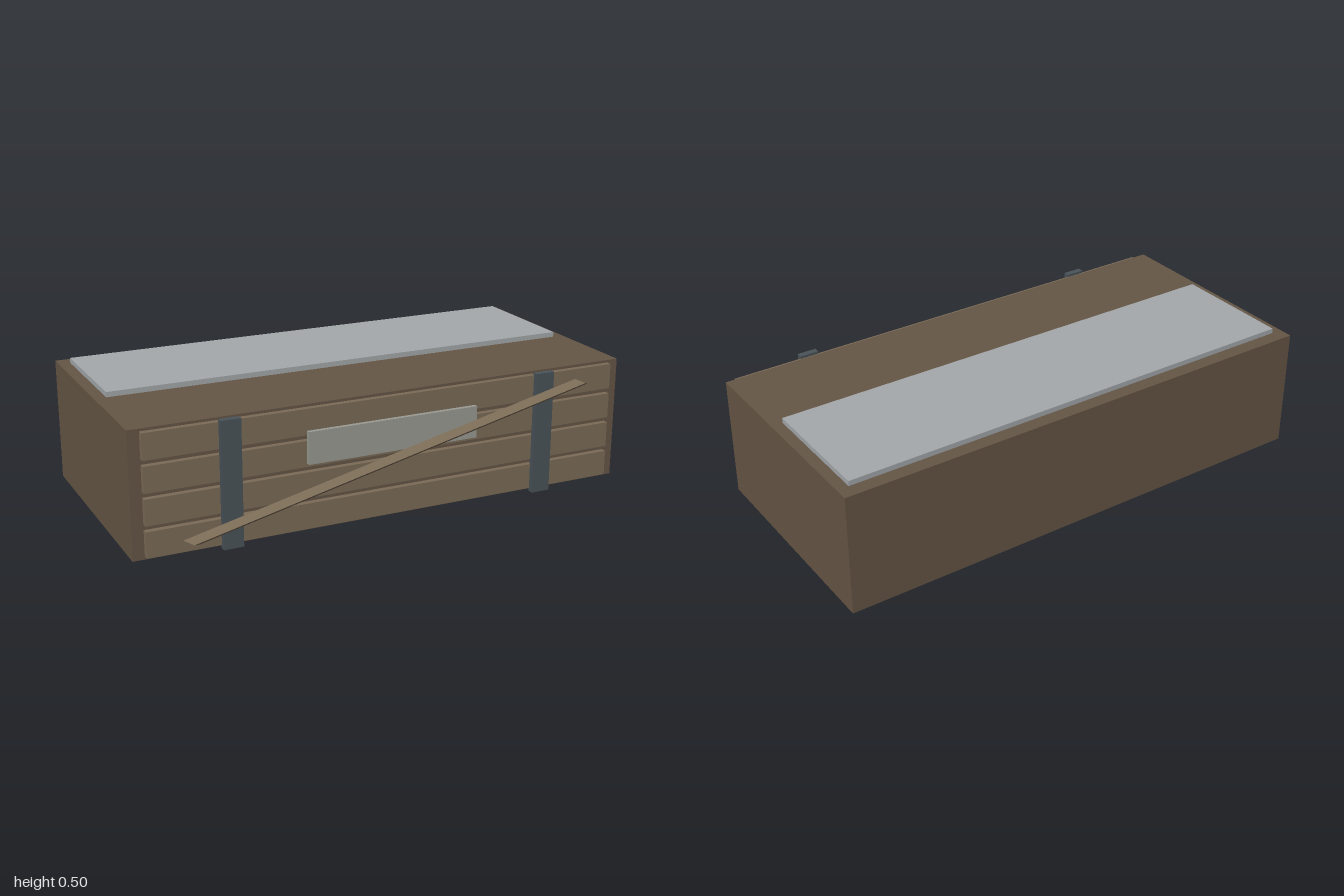
import * as THREE from 'three';

const paint = (color) => new THREE.MeshStandardMaterial({ color });

export function createModel() {
  const model = new THREE.Group();
  const wood = paint(0x665646);
  const plank = paint(0x7b6b57);
  const iron = paint(0x495359);
  const sheet = paint(0xa5a9ab);
  const plate = paint(0x999b93);

  // Box given by its minimum and maximum corners
  const block = (name, material, [x0, y0, z0], [x1, y1, z1]) => {
    const mesh = new THREE.Mesh(new THREE.BoxGeometry(x1 - x0, y1 - y0, z1 - z0), material);
    mesh.position.set((x0 + x1) / 2, (y0 + y1) / 2, (z0 + z1) / 2);
    mesh.name = name;
    model.add(mesh);
  };

  // Main body and the raised sheet on its top
  block('body', wood, [-1, 0, -0.5], [1, 0.482, 0.42]);
  block('topSheet', sheet, [-0.955, 0.482, -0.445], [0.955, 0.502, 0.04]);

  // Four horizontal front boards
  for (let i = 0; i < 4; i++) {
    const y = 0.012 + i * 0.1203;
    block(`frontBoard${i + 1}`, plank, [-0.955, y, 0.42], [0.955, y + 0.099, 0.443]);
  }

  // Upright metal straps
  for (const [side, x] of [['left', 0.64], ['right', -0.64]]) {
    block(`${side}Strap`, iron, [x - 0.038, 0, 0.44], [x + 0.038, 0.482, 0.465]);
  }

  // Blank plate on the front
  block('frontPlate', plate, [-0.345, 0.266, 0.443], [0.345, 0.39, 0.46]);

  // Diagonal brace: diamond section with slanted ends
  const brace = new THREE.CylinderGeometry(1, 1, 1, 4).toNonIndexed();
  brace.applyMatrix4(new THREE.Matrix4().makeBasis(
    new THREE.Vector3(0.03, -0.013, 0),
    new THREE.Vector3(1.6, 0.374, 0),
    new THREE.Vector3(0, 0, 0.028),
  ));
  brace.computeVertexNormals();
  const braceMesh = new THREE.Mesh(brace, plank);
  braceMesh.position.set(0, 0.243, 0.472);
  braceMesh.name = 'diagonalBrace';
  model.add(braceMesh);

  return model;
}
